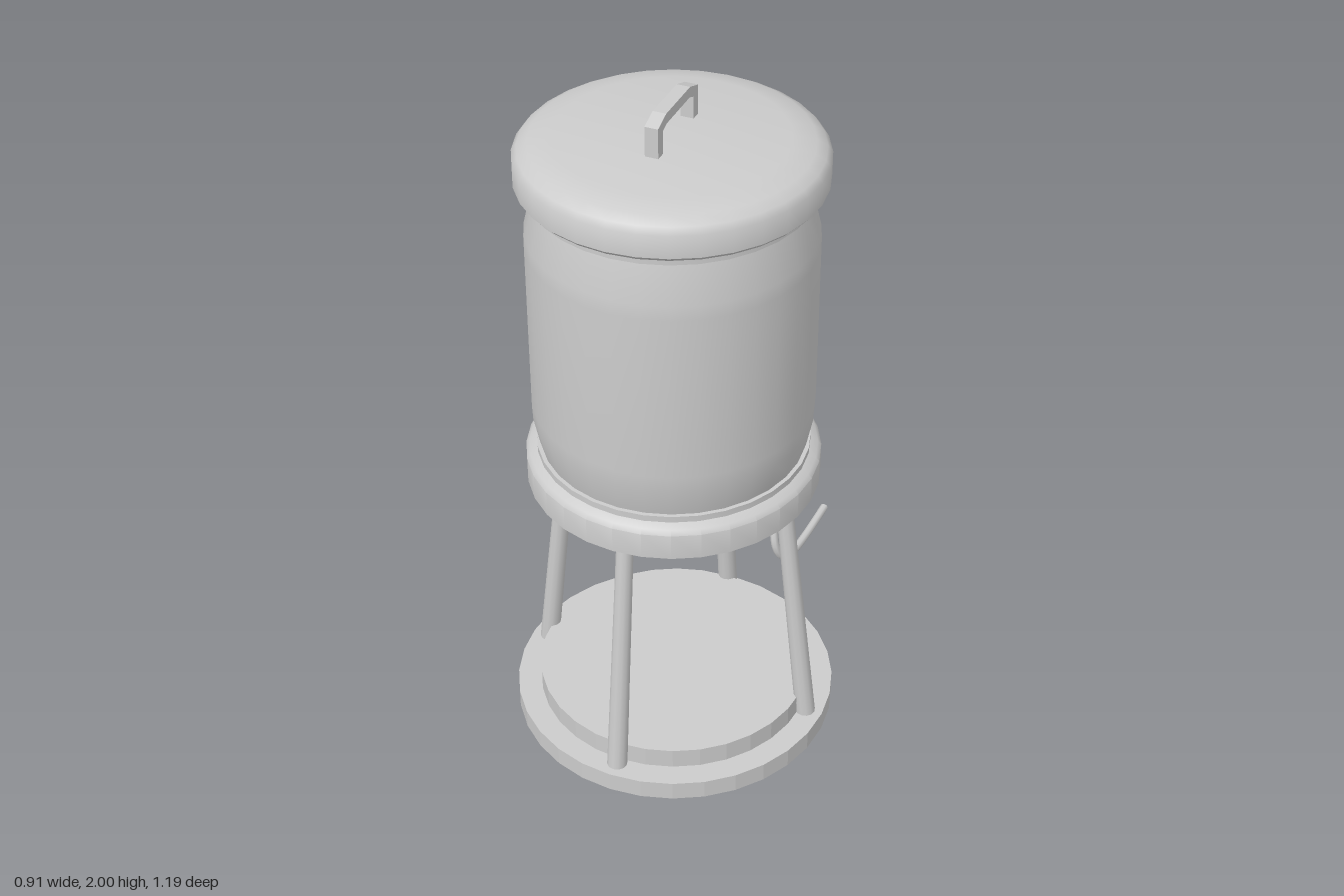
import * as THREE from 'three';
import { toCreasedNormals } from 'three/addons/utils/BufferGeometryUtils.js';

const CZ = 0.136; // z of the vertical axis of the vessel

export function createModel() {
  const model = new THREE.Group();
  model.name = 'drinkDispenser';
  const mat = new THREE.MeshStandardMaterial({ color: 0xcccccc });

  const add = (name, geo, parent = model) => {
    const mesh = new THREE.Mesh(geo, mat);
    mesh.name = name;
    parent.add(mesh);
    return mesh;
  };

  // Everything round about the main axis
  const vessel = new THREE.Group();
  vessel.name = 'vessel';
  vessel.position.z = CZ;
  model.add(vessel);
  const turned = (name, profile, crease = 0.7) => {
    const pts = profile.map(([r, y]) => new THREE.Vector2(r, y));
    return add(name, toCreasedNormals(new THREE.LatheGeometry(pts, 32), crease), vessel);
  };

  // Base: a raised disc passing through a wider ring plate
  turned('baseDisc', [[0, 0], [0.39, 0], [0.39, 0.165], [0, 0.165]], 0.1);
  turned('basePlate', [[0, 0.048], [0.457, 0.048], [0.457, 0.105], [0, 0.105]], 0.1);

  // Body, lower collar and lid
  turned('collar', [[0, 0.87], [0.4, 0.87], [0.4, 0.945], [0.39, 0.957], [0.37, 0.967], [0.37, 0.985], [0, 0.985]]);
  turned('body', [[0, 0.96], [0.355, 0.97], [0.363, 1.0], [0.378, 1.075], [0.38, 1.12], [0.38, 1.6], [0.378, 1.64], [0.352, 1.75], [0.345, 1.78], [0, 1.78]]);
  turned('lid', [[0, 1.755], [0.37, 1.755], [0.37, 1.775], [0.39, 1.781], [0.4, 1.792], [0.4, 1.855],
    [0.387, 1.872], [0.36, 1.888], [0.3, 1.9], [0, 1.9]]);

  // Four splayed legs
  const top = new THREE.Vector3(0.318, 0.885, 0);
  const foot = new THREE.Vector3(0.414, 0.035, 0);
  const dir = top.clone().sub(foot);
  for (let i = 0; i < 4; i++) {
    const pivot = new THREE.Group();
    pivot.name = 'legPivot' + (i + 1);
    pivot.rotation.y = i * Math.PI / 2;
    vessel.add(pivot);
    const leg = add('leg', new THREE.CylinderGeometry(0.023, 0.029, dir.length(), 12), pivot);
    leg.position.copy(top).add(foot).multiplyScalar(0.5);
    leg.quaternion.setFromUnitVectors(new THREE.Vector3(0, 1, 0), dir.clone().normalize());
  }

  // Lid handle: chamfered arch, drawn along z and extruded across x
  const arch = new THREE.Shape([
    [-0.123, 1.89], [-0.095, 1.89], [-0.095, 1.962], [-0.07, 1.972], [0.07, 1.972], [0.095, 1.962], [0.095, 1.89],
    [0.123, 1.89], [0.123, 1.982], [0.073, 2], [-0.073, 2], [-0.123, 1.982],
  ].map(([a, y]) => new THREE.Vector2(a, y)));
  const handleGeo = new THREE.ExtrudeGeometry(arch, { depth: 0.036, bevelEnabled: false });
  handleGeo.translate(0, 0, -0.018).rotateY(Math.PI / 2);
  add('handle', handleGeo, vessel);

  // Cable grommet at the back of the body
  const grommet = add('grommet', new THREE.CylinderGeometry(0.02, 0.033, 0.03, 16));
  grommet.position.set(0.005, 1.055, -0.242);
  grommet.rotation.x = -Math.PI / 2;

  // Power cable with closed ends
  const path = new THREE.CatmullRomCurve3([
    [0.005, 1.06, -0.235], [0.01, 1.04, -0.268], [0.022, 0.96, -0.325], [0.042, 0.84, -0.375],
    [0.07, 0.7, -0.39], [0.1, 0.53, -0.36], [0.125, 0.4, -0.313], [0.144, 0.3, -0.288],
    [0.158, 0.25, -0.31], [0.17, 0.23, -0.365], [0.177, 0.226, -0.45], [0.186, 0.236, -0.597],
  ].map((p) => new THREE.Vector3(...p)));
  const R = 0.012;
  add('cable', new THREE.TubeGeometry(path, 60, R, 8));
  const tip = add('cableTip', new THREE.CircleGeometry(R, 8));
  tip.position.copy(path.getPoint(1));
  tip.quaternion.setFromUnitVectors(new THREE.Vector3(0, 0, 1), path.getTangent(1));

  return model;
}
